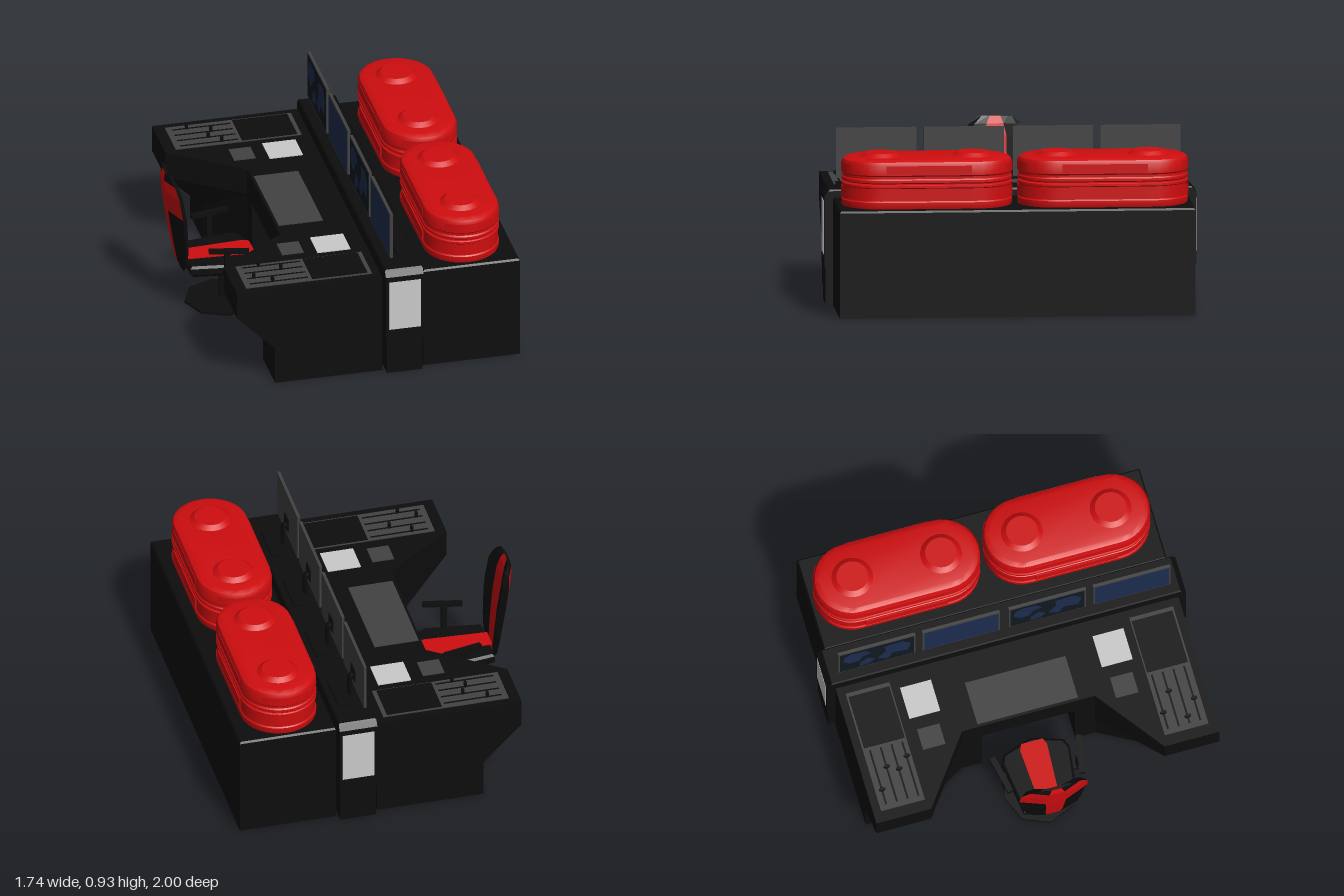
import * as THREE from 'three';
import { toCreasedNormals } from 'three/addons/utils/BufferGeometryUtils.js';

const mat = (name, color, side = THREE.FrontSide) => {
  const m = new THREE.MeshStandardMaterial({ color, side });
  m.name = name;
  return m;
};

// Skin through rings [y, [[x, z], ...]] from bottom to top, capped; pick(row, column) gives a material slot.
function loft(rings, pick = () => 0) {
  const buckets = [[], []];
  const n = rings[0][1].length;
  const v = (r, i) => [rings[r][1][i % n][0], rings[r][0], rings[r][1][i % n][1]];
  for (let r = 0; r < rings.length - 1; r++) {
    for (let i = 0; i < n; i++) {
      buckets[pick(r, i)].push(...v(r, i), ...v(r + 1, i), ...v(r, i + 1),
        ...v(r, i + 1), ...v(r + 1, i), ...v(r + 1, i + 1));
    }
  }
  for (const r of [0, rings.length - 1]) {
    const flat = rings[r][1].map(([x, z]) => new THREE.Vector2(x, z));
    for (const [a, b, c] of THREE.ShapeUtils.triangulateShape(flat, [])) {
      buckets[0].push(...v(r, a), ...(r ? v(r, c) : v(r, b)), ...(r ? v(r, b) : v(r, c)));
    }
  }
  const g = new THREE.BufferGeometry();
  g.setAttribute('position', new THREE.Float32BufferAttribute(buckets.flat(), 3));
  g.addGroup(0, buckets[0].length / 3, 0);
  g.addGroup(buckets[0].length / 3, buckets[1].length / 3, 1);
  g.computeVertexNormals();
  return g;
}

// Mirror half an outline (given from +z) across z = 0.
const mirrored = half => [...half, ...half.slice().reverse().map(([x, z]) => [x, -z])];

// Long rounded outline along z.
function stadium(r, halfLength) {
  const pts = [];
  for (const s of [1, -1]) {
    for (let i = 0; i <= 16; i++) {
      const a = (i / 16) * Math.PI + (s > 0 ? 0 : Math.PI);
      pts.push([Math.cos(a) * r, Math.sin(a) * r + s * halfLength]);
    }
  }
  return pts;
}

export function createModel() {
  const root = new THREE.Group();
  root.name = 'controlDesk';
  const black = mat('black', 0x0d0d0d), grey = mat('grey', 0x424242), red = mat('red', 0xcf0d0f, THREE.DoubleSide);
  const white = mat('paperWhite', 0xcacaca), blue = mat('screenBlue', 0x1c2c50), dark = mat('screenDark', 0x10181f);

  const add = (name, geo, m, x = 0, y = 0, z = 0, parent = root) => {
    const mesh = new THREE.Mesh(geo, m);
    mesh.name = name;
    mesh.position.set(x, y, z);
    parent.add(mesh);
    return mesh;
  };
  // Box from its limits
  const box = (name, m, x0, x1, y0, y1, z0, z1, parent = root) =>
    add(name, new THREE.BoxGeometry(x1 - x0, y1 - y0, z1 - z0), m, (x0 + x1) / 2, (y0 + y1) / 2, (z0 + z1) / 2, parent);

  // Desk: U-shaped top slab over a body with sloping arm ends and a leg recess
  const top = mirrored([[0.11, 0.955], [-0.69, 0.955], [-0.69, 0.65], [-0.31, 0.37]]);
  const body = (front, inner) => mirrored([[0.11, 0.955], [front, 0.955], [front, inner],
    [-0.31, 0.37], [-0.31, 0.26], [-0.085, 0.26]]);
  add('deskTop', loft([[0.42, top], [0.572, top]]), black);
  add('deskBody', loft([[0, body(-0.48, 0.68)], [0.21, body(-0.48, 0.68)], [0.42, body(-0.69, 0.65)]]), black);
  box('deskMat', grey, -0.295, -0.05, 0.57, 0.577, -0.28, 0.28);

  // Equipment on both arms
  const sliders = { 1: [-0.51, -0.4, -0.565, -0.475], '-1': [-0.37, -0.43, -0.4, -0.52] };
  for (const s of [1, -1]) {
    const arm = new THREE.Group();
    arm.name = s > 0 ? 'leftArmEquipment' : 'rightArmEquipment';
    root.add(arm);
    const flat = (name, m, x0, x1, za, zb, y1) =>
      box(name, m, x0, x1, 0.568, y1, Math.min(s * za, s * zb), Math.max(s * za, s * zb), arm);
    flat('mixerPanel', grey, -0.63, 0.065, 0.668, 0.912, 0.577);
    flat('mixerPad', black, -0.262, 0.042, 0.675, 0.902, 0.58);
    flat('keypad', grey, -0.355, -0.235, 0.475, 0.6, 0.577);
    flat('paper', white, -0.165, 0.018, 0.45, 0.622, 0.577);
    sliders[s].forEach((x, i) => {
      const z = 0.695 + i * 0.06;
      flat('sliderGroove', black, -0.6, -0.28, z - 0.005, z + 0.005, 0.579);
      flat('sliderStem', black, x - 0.005, x + 0.005, z - 0.008, z + 0.008, 0.59);
      add('sliderKnob', new THREE.CylinderGeometry(0.009, 0.009, 0.018, 10), black, x, 0.597, s * z, arm)
        .scale.z = 2;
    });
  }

  // Narrow middle console with chamfered ends and end panels
  const rect = (x0, x1, z) => [[x1, z], [x0, z], [x0, -z], [x1, -z]];
  add('consoleBase', loft([[0, rect(0.127, 0.323, 0.993)], [0.21, rect(0.127, 0.323, 0.993)]]), black);
  add('console', loft([[0.2, rect(0.12, 0.328, 1)], [0.585, rect(0.12, 0.328, 1)],
    [0.612, rect(0.12, 0.328, 0.978)], [0.62, rect(0.126, 0.322, 0.97)]]), black);
  for (const s of [1, -1]) box('endPanel', white, 0.138, 0.312, 0.267, 0.555, s * 1 - 0.002, s * 1 + 0.002);

  // Monitors
  const facing = (name, geo, m, x, y, z, parent) => {
    add(name, geo, m, x, y, z, parent).rotation.y = -Math.PI / 2;
  };
  const land = [
    [[-0.19, 0.02], [-0.15, -0.03], [-0.1, -0.02], [-0.08, 0.03], [-0.03, 0.05], [-0.06, 0.1], [-0.14, 0.11], [-0.18, 0.08]],
    [[-0.1, -0.11], [-0.04, -0.1], [-0.01, -0.05], [-0.05, -0.01], [-0.09, -0.05]],
    [[0.0, -0.06], [0.06, -0.1], [0.09, -0.03], [0.17, -0.05], [0.19, 0.04], [0.14, 0.1], [0.04, 0.09], [0.05, 0.02]],
  ].map(p => new THREE.Shape(p.map(q => new THREE.Vector2(...q))));
  [-0.71, -0.24, 0.24, 0.71].forEach((z, i) => {
    const monitor = new THREE.Group();
    monitor.name = 'monitor' + (i + 1);
    monitor.position.z = z;
    root.add(monitor);
    box('monitorCase', grey, 0.16, 0.176, 0.662, 0.932, -0.215, 0.215, monitor);
    facing('screen', new THREE.PlaneGeometry(0.412, 0.252), i % 2 ? blue : dark, 0.1585, 0.797, 0, monitor);
    if (i % 2 === 0) facing('screenMap', new THREE.ShapeGeometry(land), blue, 0.157, 0.797, 0, monitor);
    const neck = new THREE.CatmullRomCurve3([[0.2, 0.615], [0.2, 0.7], [0.193, 0.735], [0.174, 0.747]]
      .map(([x, y]) => new THREE.Vector3(x, y, 0)));
    add('monitorNeck', new THREE.TubeGeometry(neck, 12, 0.011, 8), black, 0, 0, 0, monitor).scale.z = 2.4;
    box('monitorMount', black, 0.174, 0.184, 0.71, 0.785, -0.04, 0.04, monitor);
    box('monitorFoot', black, 0.222, 0.292, 0.615, 0.635, -0.12, 0.12, monitor);
  });

  // Rear cabinet
  add('rearCabinet', loft([[0, rect(0.337, 0.87, 0.955)], [0.57, rect(0.337, 0.87, 0.955)],
    [0.58, rect(0.345, 0.862, 0.947)]]), black);

  // Rounded red pods in two stacked shells
  const shells = {
    lowerShell: [[0.2, 0.575], [0.206, 0.59], [0.206, 0.615], [0.2, 0.622], [0.2, 0.69], [0.206, 0.695], [0.206, 0.706], [0.2, 0.71]],
    upperShell: [[0.2, 0.716], [0.206, 0.722], [0.206, 0.735], [0.2, 0.742], [0.2, 0.755], [0.206, 0.762], [0.205, 0.815], [0.197, 0.832], [0.175, 0.843]],
  };
  for (const z of [-0.475, 0.47]) {
    const pod = new THREE.Group();
    pod.name = z < 0 ? 'rightPod' : 'leftPod';
    pod.position.set(0.6, 0, z);
    root.add(pod);
    for (const [name, profile] of Object.entries(shells)) {
      add(name, toCreasedNormals(loft(profile.map(([r, y]) => [y, stadium(r, 0.252)])), 0.5), red, 0, 0, 0, pod);
    }
    for (const s of [1, -1]) {
      add('podCap', toCreasedNormals(new THREE.CylinderGeometry(0.085, 0.115, 0.022, 32), 0.4), red, 0, 0.852, s * 0.247, pod);
      for (const [y, h] of [[0.655, 0.055], [0.79, 0.046]]) {
        add('sidePanel', new THREE.BoxGeometry(0.008, h, 0.46), red, s * 0.204, y, 0, pod);
        add('endPanel', new THREE.CylinderGeometry(0.208, 0.208, h, 16, 1, true, (s > 0 ? 0 : Math.PI) - 0.68, 1.36),
          red, 0, y, s * 0.252, pod);
      }
    }
  }

  // Chair
  const chair = new THREE.Group();
  chair.name = 'chair';
  root.add(chair);
  const foot = new THREE.CylinderGeometry(0.2, 0.2, 0.013, 8).toNonIndexed();
  foot.computeVertexNormals();
  add('chairFoot', foot, black, -0.545, 0.018, 0, chair);
  add('chairColumn', new THREE.CylinderGeometry(0.013, 0.013, 0.23, 12), black, -0.545, 0.135, 0, chair);
  const seat = k => mirrored([[-0.352, 0.01], [-0.405, 0.17], [-0.45, 0.19], [-0.75, 0.15]])
    .map(([x, z]) => [-0.56 + (x + 0.56) * k, z * k]);
  add('seat', loft([[0.235, seat(0.85)], [0.26, seat(1)], [0.295, seat(1)], [0.307, seat(0.93)]]), black, 0, 0, 0, chair);
  const strip = mirrored([[-0.375, 0.06], [-0.41, 0.075], [-0.76, 0.055]]);
  add('seatStripe', loft([[0.304, strip], [0.312, strip]]), red, 0, 0, 0, chair);

  // Backrest rows: height, rear x, front x, half width
  const rows = [[0.25, -0.775, -0.765, 0.08], [0.3, -0.795, -0.753, 0.13], [0.4, -0.815, -0.755, 0.16],
    [0.55, -0.84, -0.763, 0.175], [0.62, -0.85, -0.773, 0.19], [0.74, -0.865, -0.793, 0.185],
    [0.8, -0.87, -0.812, 0.14], [0.84, -0.86, -0.842, 0.09]];
  const section = [[0, -0.3], [0.65, -1], [1, -0.8], [0.7, -0.32], [0.7, 0.32], [1, 0.8], [0.65, 1], [0, 0.3]];
  const back = rows.map(([y, a, b, w]) => [y, section.map(([t, z]) => [a + (b - a) * t, z * w])]);
  const isRed = (r, i) => (i === 3 || i === 7 || ((i === 0 || i === 6) && (r === 4 || r === 5)) ? 1 : 0);
  add('backrest', loft(back, isRed), [black, red], 0, 0, 0, chair);
  for (const s of [1, -1]) {
    add('armrest', new THREE.BoxGeometry(0.215, 0.02, 0.032), black, -0.555, 0.42, s * 0.22, chair).rotation.y = -s * 0.2;
    box('armrestPost', black, -0.575, -0.545, 0.26, 0.415, s * 0.205 - 0.01, s * 0.205 + 0.01, chair);
    box('armrestBracket', black, -0.575, -0.545, 0.255, 0.275, s * 0.18 - 0.035, s * 0.18 + 0.035, chair);
  }
  return root;
}
